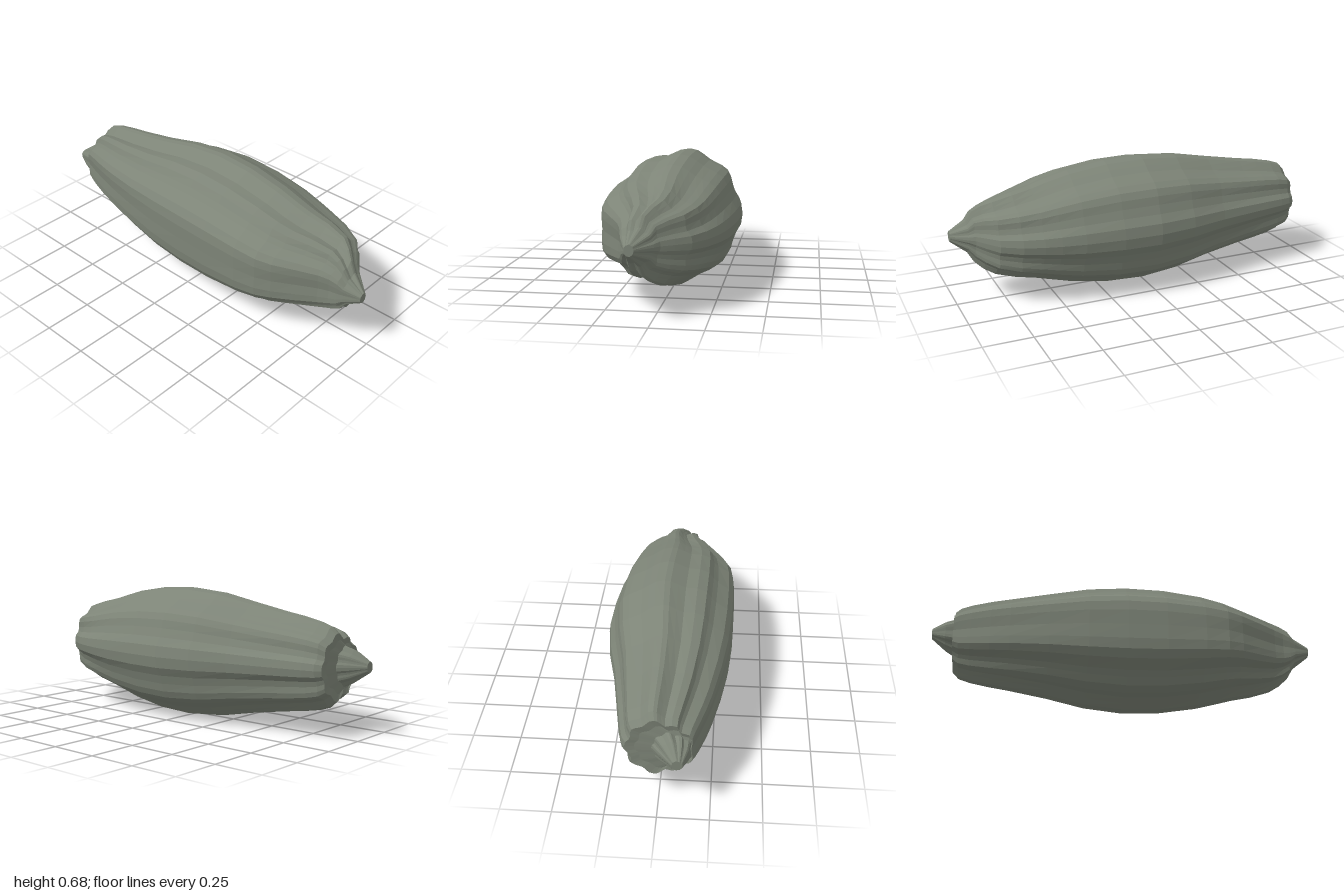
import * as THREE from 'three';

const MID_Y = 0.343, MEAN_R = 0.333;

// Lobed outline of the widest section, upper half from +x to -x, about its centre
const HALF_OUTLINE = [
  [0.333, 0], [0.325, 0.057], [0.3, 0.1], [0.283, 0.145], [0.272, 0.187], [0.253, 0.222],
  [0.22, 0.247], [0.185, 0.265], [0.15, 0.283], [0.115, 0.308], [0.077, 0.332], [0.03, 0.342],
  [0, 0.338], [-0.04, 0.32], [-0.08, 0.302], [-0.14, 0.3], [-0.19, 0.28], [-0.215, 0.245],
  [-0.24, 0.217], [-0.3, 0.177], [-0.325, 0.135], [-0.333, 0.08], [-0.332, 0],
];
// Full outline: the lower half mirrors the upper
const OUTLINE = [
  ...HALF_OUTLINE,
  ...HALF_OUTLINE.slice(1, -1).reverse().map(([x, y]) => [x, -y]),
];
const SIDES = OUTLINE.length;

// Cross-sections from back to front: z, left edge x, right edge x, half height, groove strength
const STATIONS = [
  [-1, -0.095, -0.095, 0, 1],
  [-1, -0.12, -0.07, 0.028, 1],
  [-0.93, -0.145, -0.005, 0.08, 1.8],
  [-0.89, -0.15, 0.03, 0.1, 2],
  [-0.885, -0.155, 0.11, 0.13, 2],
  [-0.89, -0.16, 0.155, 0.165, 2],
  [-0.86, -0.17, 0.175, 0.195, 2],
  [-0.8, -0.19, 0.19, 0.215, 1.9],
  [-0.7, -0.22, 0.208, 0.235, 1.8],
  [-0.6, -0.245, 0.225, 0.25, 1.6],
  [-0.4, -0.285, 0.26, 0.285, 1.3],
  [-0.2, -0.315, 0.307, 0.325, 1.1],
  [0, -0.33, 0.333, 0.342, 1],
  [0.2, -0.335, 0.327, 0.335, 1],
  [0.4, -0.33, 0.307, 0.304, 1.1],
  [0.52, -0.315, 0.285, 0.273, 1.3],
  [0.6, -0.285, 0.265, 0.25, 1.5],
  [0.7, -0.23, 0.23, 0.228, 1.8],
  [0.8, -0.175, 0.17, 0.2, 2],
  [0.85, -0.155, 0.1, 0.175, 2.2],
  [0.89, -0.145, 0.04, 0.14, 2.2],
  [0.92, -0.135, 0.015, 0.088, 2],
  [1, -0.105, -0.06, 0.028, 1],
  [1, -0.085, -0.085, 0, 1],
];

// One lobed ring, fitted to the edges given by its station
function ring([z, left, right, half, groove]) {
  const pts = OUTLINE.map(([x, y]) => {
    const r = Math.hypot(x, y);
    const k = 1 + (MEAN_R / r - 1) * (1 - groove);
    return [x * k, y * k];
  });
  const us = pts.map(p => p[0]);
  const uMin = Math.min(...us), uMax = Math.max(...us);
  const vMax = Math.max(...pts.map(p => p[1]));
  return pts.map(([u, v]) => [
    left + ((u - uMin) / (uMax - uMin)) * (right - left),
    MID_Y + (v / vMax) * half,
    z,
  ]);
}

function podGeometry() {
  const rings = STATIONS.map(ring);
  const index = [];
  for (let i = 0; i < rings.length - 1; i++) {
    for (let j = 0; j < SIDES; j++) {
      const a = i * SIDES + j, b = i * SIDES + ((j + 1) % SIDES);
      const c = a + SIDES, d = b + SIDES;
      if (i > 0) index.push(a, b, c);
      if (i < rings.length - 2) index.push(b, d, c);
    }
  }
  const geo = new THREE.BufferGeometry();
  geo.setAttribute('position', new THREE.Float32BufferAttribute(rings.flat(2), 3));
  geo.setIndex(index);
  const flat = geo.toNonIndexed();
  flat.computeVertexNormals();
  return flat;
}

export function createModel() {
  const group = new THREE.Group();
  group.name = 'ribbedPod';
  const skin = new THREE.MeshStandardMaterial({ color: 0x7d8477, flatShading: true });
  skin.name = 'greyGreenSkin';

  // Ribbed body with a small nub at each end
  const pod = new THREE.Mesh(podGeometry(), skin);
  pod.name = 'podBody';
  group.add(pod);
  return group;
}
